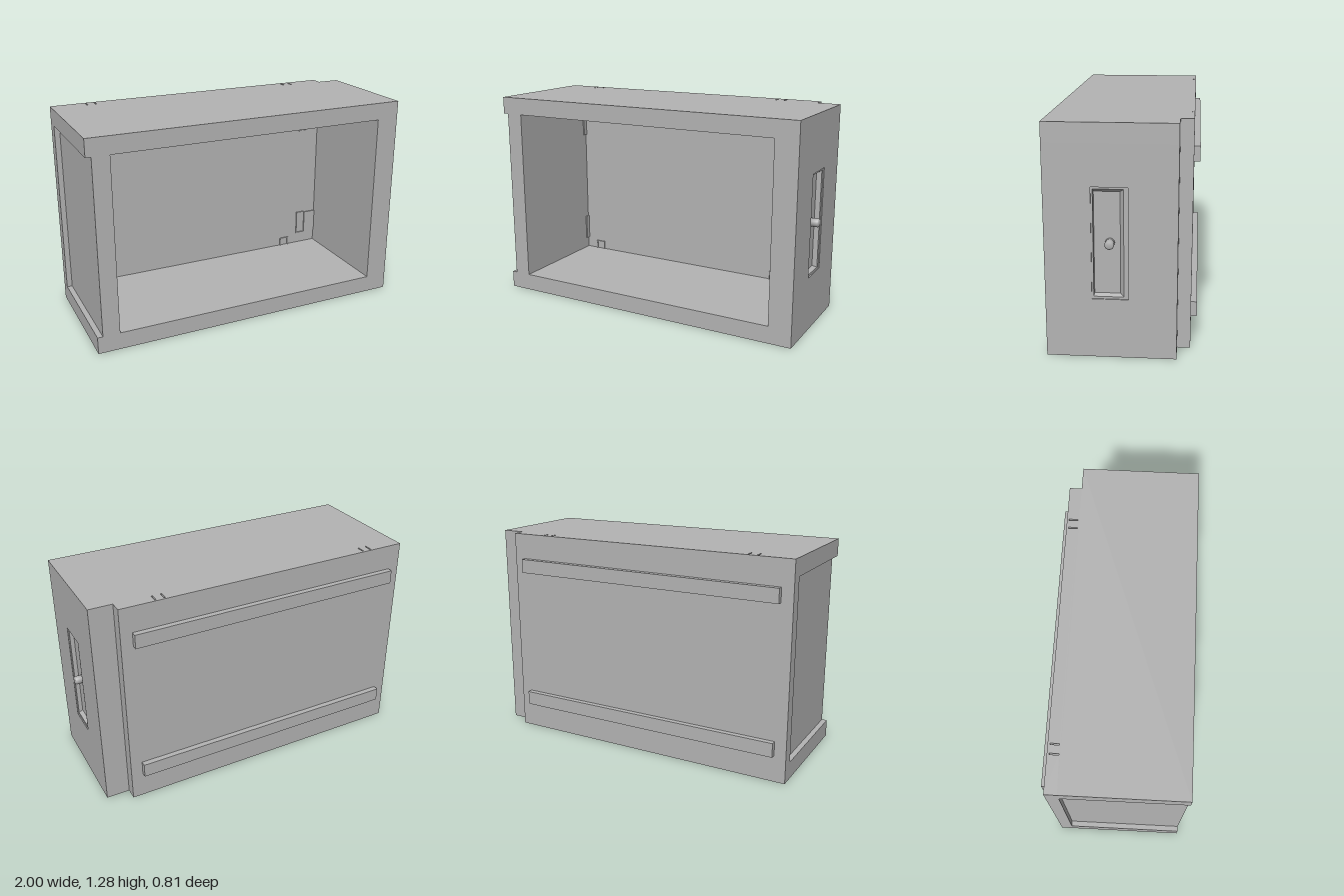
import * as THREE from 'three';

const grey = new THREE.MeshStandardMaterial({ color: 0xb3b3b3 });
grey.name = 'light grey';

export function createModel() {
  const model = new THREE.Group();
  const add = (name, geometry, parent = model) => {
    const mesh = new THREE.Mesh(geometry, grey);
    mesh.name = name;
    parent.add(mesh);
    return mesh;
  };
  // Box given by its limits on each axis
  const box = (name, x0, x1, y0, y1, z0, z1, parent) => {
    const g = new THREE.BoxGeometry(x1 - x0, y1 - y0, z1 - z0);
    g.translate((x0 + x1) / 2, (y0 + y1) / 2, (z0 + z1) / 2);
    return add(name, g, parent);
  };
  const rect = (target, x0, x1, y0, y1) => {
    target.moveTo(x0, y0);
    target.lineTo(x1, y0);
    target.lineTo(x1, y1);
    target.lineTo(x0, y1);
    target.closePath();
    return target;
  };

  const H = 1.28, back = -0.3, front = 0.4;
  const low = 0.105, high = 1.175;

  // Open case: top, bottom and recessed left wall
  box('bottomPanel', -1, 0.98, 0, low, back, front);
  box('topPanel', -1, 0.98, high, H, back, front);
  box('leftWall', -0.968, -0.865, low, high, back, front);

  // Back panel with narrow clip slits running up through it
  const panel = rect(new THREE.Shape(), -1, 0.84, 0.3, 0.372);
  for (const cx of [-0.757, 0.597]) {
    for (const side of [-1, 1]) {
      const x = cx + side * 0.027;
      panel.holes.push(rect(new THREE.Path(), x - 0.004, x + 0.004, 0.308, 0.36));
    }
  }
  const panelGeo = new THREE.ExtrudeGeometry(panel, { depth: H, bevelEnabled: false });
  panelGeo.rotateX(-Math.PI / 2);
  add('backPanel', panelGeo);

  // Right wall: inner core and outer skin with the handle opening
  box('rightWallCore', 0.84, 0.94, low, high, back, front);
  const skin = rect(new THREE.Shape(), -front, -back, low, high);
  skin.holes.push(rect(new THREE.Path(), -0.151, 0.043, 0.335, 0.947));
  const skinGeo = new THREE.ExtrudeGeometry(skin, { depth: 0.04, bevelEnabled: false });
  skinGeo.rotateY(Math.PI / 2);
  skinGeo.translate(0.94, 0, 0);
  add('rightWallSkin', skinGeo);

  // Stepped and sloped handle pocket: x, front z, back z, bottom y, top y
  const loops = [
    [0.98, 0.151, -0.043, 0.335, 0.947],
    [0.974, 0.151, -0.043, 0.335, 0.947],
    [0.974, 0.141, -0.019, 0.348, 0.936],
    [0.95, 0.139, 0.001, 0.36, 0.918],
  ].map(([x, zf, zb, y0, y1]) => [[x, y0, zf], [x, y0, zb], [x, y1, zb], [x, y1, zf]]);
  const points = [];
  const quad = (a, b, c, d) => points.push(...a, ...b, ...c, ...a, ...c, ...d);
  for (let i = 0; i < loops.length - 1; i++) {
    for (let k = 0; k < 4; k++) {
      const n = (k + 1) % 4;
      quad(loops[i][k], loops[i][n], loops[i + 1][n], loops[i + 1][k]);
    }
  }
  quad(...loops[loops.length - 1]);
  const pocket = new THREE.BufferGeometry();
  pocket.setAttribute('position', new THREE.Float32BufferAttribute(points, 3));
  pocket.computeVertexNormals();
  add('handlePocket', pocket);

  // Round knob with a chamfered tip
  const profile = [[0, 0], [0.025, 0], [0.025, 0.043], [0.018, 0.05], [0, 0.05]];
  const knobGeo = new THREE.LatheGeometry(profile.map(p => new THREE.Vector2(...p)), 24);
  knobGeo.rotateZ(-Math.PI / 2);
  knobGeo.translate(0.95, 0.642, 0.055);
  add('knob', knobGeo);

  // Two mounting rails on the back
  for (const y of [0.16, 1.04]) {
    box('mountingRail', -0.93, 0.77, y, y + 0.085, -0.405, -0.372);
  }

  // Small U clips on the back wall, at floor and ceiling
  const t = 0.008, clipFront = back + 0.008;
  for (const cx of [-0.757, 0.597]) {
    for (const top of [false, true]) {
      const clip = new THREE.Group();
      clip.name = 'clip';
      model.add(clip);
      const y0 = top ? 1.12 : low, y1 = top ? high : 0.16;
      const bar = top ? y0 : y1 - t;
      box('clipSide', cx - 0.033, cx - 0.033 + t, y0, y1, back, clipFront, clip);
      box('clipSide', cx + 0.033 - t, cx + 0.033, y0, y1, back, clipFront, clip);
      box('clipBar', cx - 0.033 + t, cx + 0.033 - t, bar, bar + t, back, clipFront, clip);
    }
  }

  // Latches: C brackets and blocks by the right wall, thin plates on the left
  for (const y0 of [0.175, 0.945]) {
    const y1 = y0 + 0.165;
    const latch = new THREE.Group();
    latch.name = 'latch';
    model.add(latch);
    box('latchEdge', 0.695, 0.695 + t, y0, y1, back, clipFront, latch);
    box('latchArm', 0.695 + t, 0.757, y0, y0 + t, back, clipFront, latch);
    box('latchArm', 0.695 + t, 0.757, y1 - t, y1, back, clipFront, latch);
    box('latchBlock', 0.757, 0.84, y0 + 0.006, y1 - 0.006, back, clipFront, latch);
    box('leftCatch', -0.865, -0.857, y0, y1, back, back + 0.03, latch);
  }

  return model;
}
